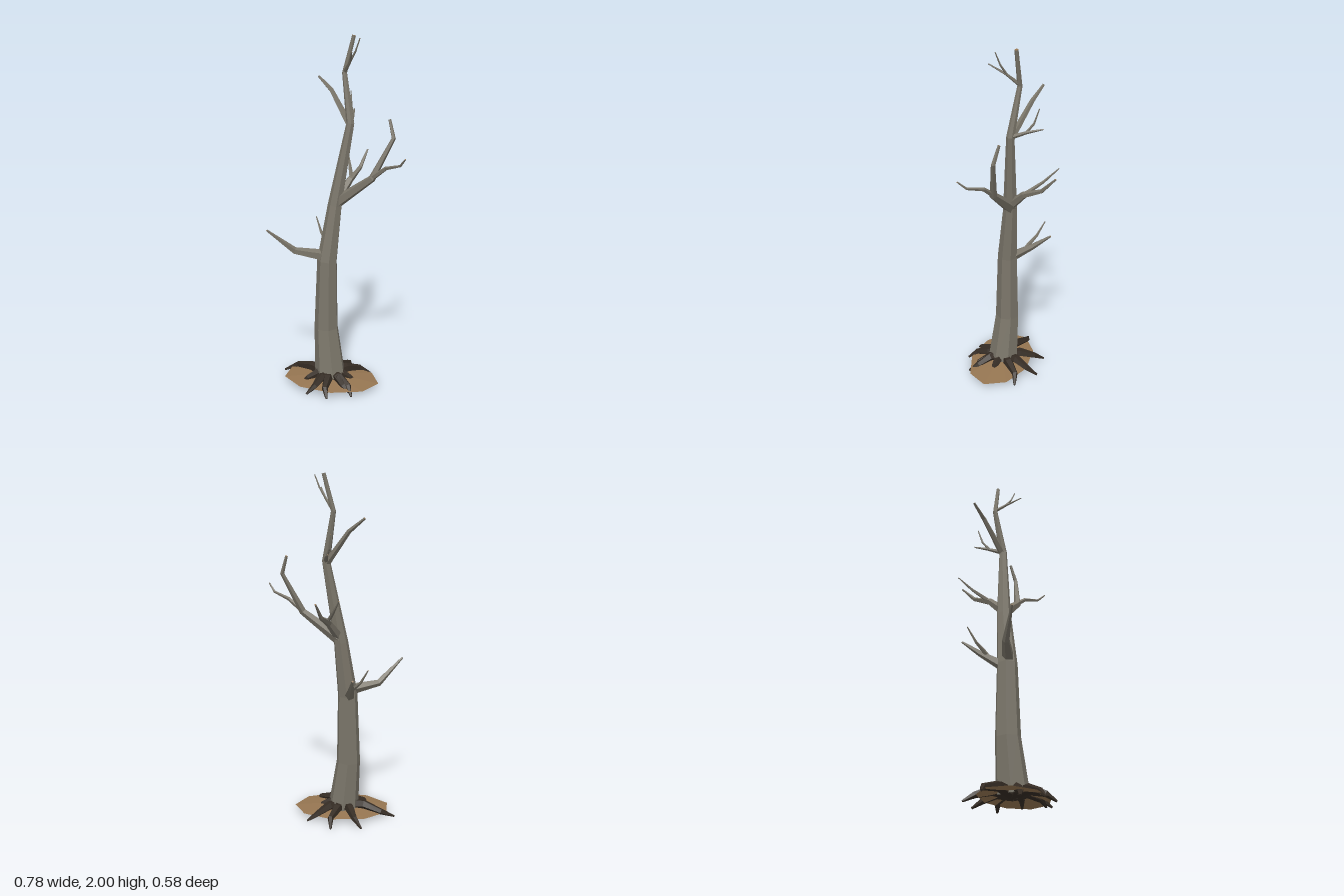
import * as THREE from 'three';

const flat = (name, color, extra = {}) =>
  Object.assign(new THREE.MeshStandardMaterial({ color, flatShading: true, ...extra }), { name });

// Faceted tapering limb along points [x, y, z, radius]; the end cap is material group 1
function limbGeometry(path, sides) {
  const pts = path.map(p => new THREE.Vector3(p[0], p[1], p[2]));
  const u = new THREE.Vector3();
  const rings = pts.map((p, i) => {
    const before = pts[Math.max(i - 1, 0)], after = pts[Math.min(i + 1, pts.length - 1)];
    const a = p.clone().sub(before).normalize(), b = after.clone().sub(p).normalize();
    const t = a.add(b).normalize();
    if (i === 0) u.set(0, 0, 1).addScaledVector(t, -t.z);
    if (u.lengthSq() < 0.05) u.set(0, 1, 0);
    u.addScaledVector(t, -u.dot(t)).normalize();
    const v = t.clone().cross(u);
    return Array.from({ length: sides }, (_, j) => {
      const ang = (j + 0.5) / sides * Math.PI * 2;
      return p.clone().addScaledVector(u, Math.cos(ang) * path[i][3])
        .addScaledVector(v, Math.sin(ang) * path[i][3]);
    });
  });
  const out = [];
  const tri = (...corners) => corners.forEach(c => out.push(c.x, c.y, c.z));
  const last = rings.length - 1;
  for (let j = 0; j < sides; j++) {
    const k = (j + 1) % sides;
    for (let i = 0; i < last; i++) {
      tri(rings[i][j], rings[i][k], rings[i + 1][k]);
      tri(rings[i][j], rings[i + 1][k], rings[i + 1][j]);
    }
    tri(pts[0], rings[0][k], rings[0][j]);
  }
  const bark = out.length / 3;
  for (let j = 0; j < sides; j++) tri(pts[last], rings[last][j], rings[last][(j + 1) % sides]);
  const geo = new THREE.BufferGeometry();
  geo.setAttribute('position', new THREE.Float32BufferAttribute(out, 3));
  geo.addGroup(0, bark, 0);
  geo.addGroup(bark, sides * 3, 1);
  geo.computeVertexNormals();
  return geo;
}

export function createModel() {
  const bark = flat('grey bark', 0x7b766a);
  const wood = flat('cut wood', 0x957551);
  const rootBark = flat('dark root', 0x352c24);
  const soil = flat('soil', 0x957551, { side: THREE.DoubleSide });
  const model = new THREE.Group();
  model.name = 'bareTree';

  const limb = (name, path, sides, mats = [bark, wood]) => {
    const mesh = new THREE.Mesh(limbGeometry(path, sides), mats);
    mesh.name = name;
    model.add(mesh);
  };

  // Leaning trunk
  limb('trunk', [
    [-0.05, 0.05, 0.066, 0.09], [-0.078, 0.34, 0.05, 0.07], [-0.072, 0.75, 0.045, 0.058],
    [-0.035, 1.07, 0.014, 0.041], [0.045, 1.53, -0.018, 0.023],
    [0.002, 1.8, -0.054, 0.014], [0.054, 1.998, -0.054, 0.011],
  ], 7);

  // Branches, with the twigs that fork from them
  const branches = {
    lowerRightBranch: [[-0.08, 0.78, 0.055, 0.036], [-0.25, 0.81, 0.1, 0.021], [-0.385, 0.942, 0.178, 0.006]],
    lowerBackBranch: [[-0.085, 0.75, 0.015, 0.03], [-0.1, 0.825, -0.1, 0.018], [-0.113, 0.903, -0.203, 0.006]],
    lowerBackTwig: [[-0.1, 0.81, -0.06, 0.013], [-0.155, 0.87, -0.105, 0.008], [-0.195, 0.95, -0.142, 0.003]],
    leftBranch: [[-0.03, 1.085, 0.01, 0.036], [0.18, 1.24, 0.027, 0.021], [0.287, 1.46, -0.018, 0.012], [0.259, 1.558, -0.04, 0.008]],
    leftTwig: [[0.17, 1.235, 0.025, 0.016], [0.26, 1.305, 0.05, 0.011], [0.35, 1.335, 0.105, 0.007], [0.385, 1.38, 0.14, 0.004]],
    backBranch: [[-0.02, 1.11, 0, 0.028], [0.025, 1.2, -0.09, 0.02], [0.056, 1.25, -0.2, 0.012], [0.078, 1.34, -0.286, 0.005]],
    backTwig: [[0.03, 1.21, -0.1, 0.013], [-0.008, 1.28, -0.19, 0.008], [-0.043, 1.355, -0.265, 0.003]],
    upperRightBranch: [[0.04, 1.52, -0.02, 0.02], [-0.085, 1.7, -0.092, 0.013], [-0.168, 1.77, -0.126, 0.007]],
    upperBackBranch: [[0.045, 1.53, -0.02, 0.014], [0.035, 1.565, -0.11, 0.009], [0.02, 1.586, -0.192, 0.004]],
    upperBackTwig: [[0.035, 1.56, -0.1, 0.008], [0.018, 1.61, -0.14, 0.006], [0.008, 1.69, -0.165, 0.003]],
    topFrontBranch: [[0.002, 1.805, -0.054, 0.011], [0.05, 1.868, 0.005, 0.007], [0.08, 1.92, 0.09, 0.003]],
    topFrontTwig: [[0.045, 1.862, 0, 0.007], [0.082, 1.92, 0.022, 0.005], [0.11, 1.988, 0.038, 0.003]],
  };
  for (const [name, path] of Object.entries(branches)) limb(name, path, 5);

  // Arched roots: tip x, tip z, sideways bend
  const roots = [
    [-0.355, 0.012, 0.035], [-0.205, 0.155, -0.01], [-0.135, 0.265, -0.02], [-0.008, 0.285, 0.015],
    [0.112, 0.195, 0.02], [0.12, 0.225, -0.015], [0.112, 0.065, 0.01], [0.155, -0.087, -0.02],
    [0.01, -0.178, 0.02], [-0.166, -0.16, 0.015],
  ];
  const cx = -0.05, cz = 0.07;
  for (const [x, z, bend] of roots) {
    const dx = x - cx, dz = z - cz, len = Math.hypot(dx, dz);
    const at = (f, y, r, b) => [cx + dx * f - dz / len * b, y, cz + dz * f + dx / len * b, r];
    limb('root', [
      at(0, 0.05, 0.035, 0), at(0.42, 0.068, 0.028, bend * 0.4),
      at(0.76, 0.045, 0.018, bend), at(1, 0.008, 0.006, 0),
    ], 5, [rootBark, rootBark]);
  }

  // Low oval mound of soil
  const mound = new THREE.Mesh(new THREE.ConeGeometry(1, 0.03, 9, 1, true), soil);
  mound.name = 'soilMound';
  mound.rotation.y = Math.PI / 2;
  const holder = new THREE.Group();
  holder.name = 'soil';
  holder.scale.set(0.285, 1, 0.183);
  holder.position.set(-0.042, 0.047, 0.075);
  holder.add(mound);
  model.add(holder);

  return model;
}
